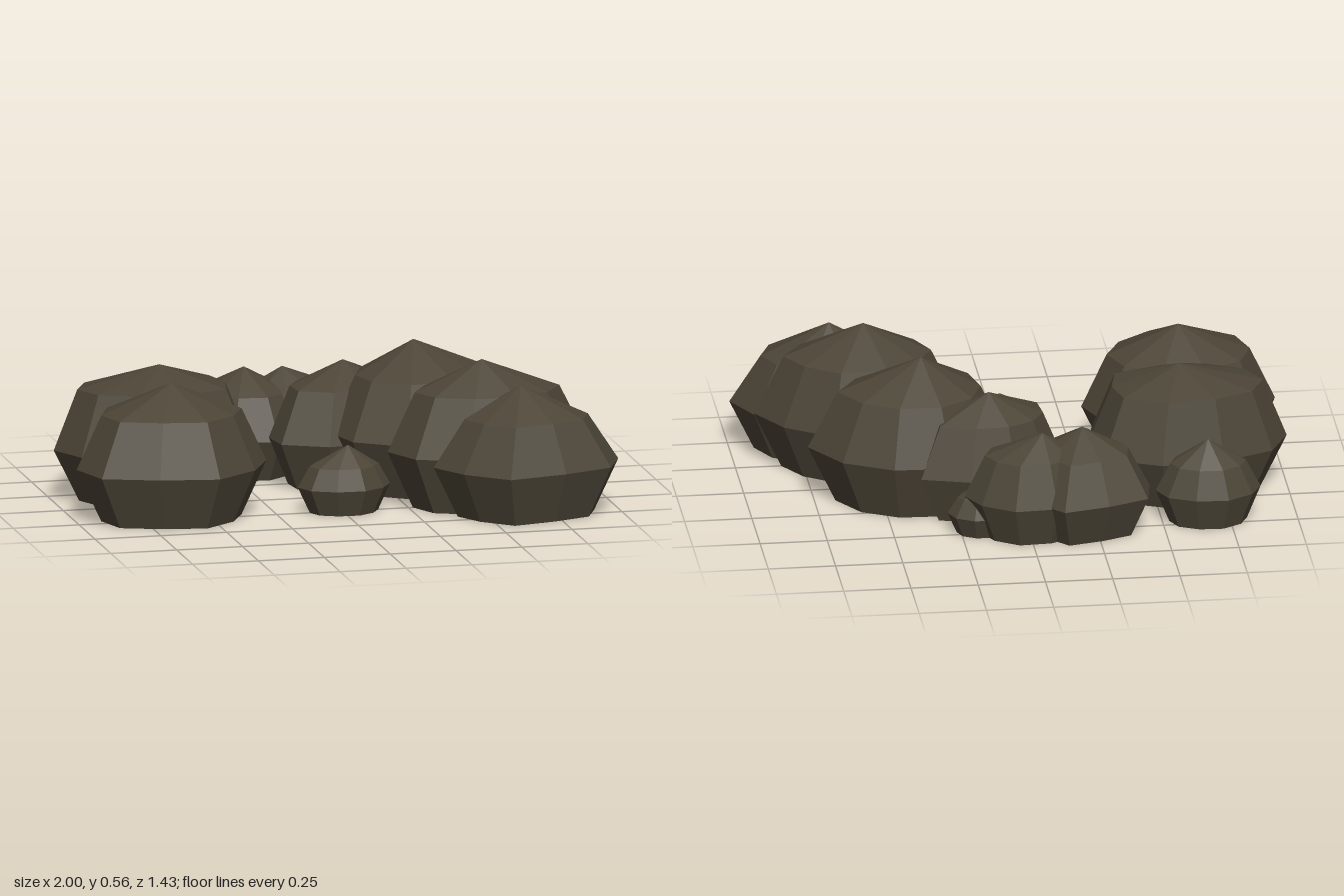
import * as THREE from 'three';

const SIDES = 10;

// One faceted boulder: base, waist and shoulder rings closed by a blunt peak.
// shoulder is [height, scale]; f holds the outline factor of each corner,
// running from +x towards +z.
function boulder(material, name, [x, z], [rx, rz], h, shoulder, f, apex = [x, z]) {
  const ring = (y, scale) => Array.from({ length: SIDES }, (_, i) => {
    const a = (i / SIDES) * Math.PI * 2;
    const s = scale * f[i];
    return [x + Math.cos(a) * rx * s, y, z + Math.sin(a) * rz * s];
  });
  const rings = [ring(0, 0.74), ring(h * 0.39, 1), ring(...shoulder)];
  const top = [apex[0], h, apex[1]];
  const bottom = [x, 0, z];
  const v = [];
  const tri = (a, b, c) => v.push(...a, ...b, ...c);
  for (let i = 0; i < SIDES; i++) {
    const j = (i + 1) % SIDES;
    for (let k = 0; k < 2; k++) {
      const lo = rings[k], up = rings[k + 1];
      tri(lo[i], up[i], lo[j]);
      tri(lo[j], up[i], up[j]);
    }
    tri(rings[2][i], top, rings[2][j]);
    tri(rings[0][i], rings[0][j], bottom);
  }
  // Unshared corners give flat facets
  const geometry = new THREE.BufferGeometry();
  geometry.setAttribute('position', new THREE.Float32BufferAttribute(v, 3));
  geometry.computeVertexNormals();
  const mesh = new THREE.Mesh(geometry, material);
  mesh.name = name;
  return mesh;
}

export function createModel() {
  const group = new THREE.Group();
  group.name = 'boulderCluster';
  const stone = new THREE.MeshStandardMaterial({ color: 0x4b4436 });
  stone.name = 'darkBrownStone';
  const add = (...args) => group.add(boulder(stone, ...args));

  // Pair of large boulders with a small one behind
  add('rightFrontBoulder', [-0.64, 0.21], [0.36, 0.285], 0.51, [0.4, 0.74],
    [1, 0.96, 1.05, 0.92, 1.05, 1, 1, 0.95, 0.95, 1]);
  add('rightMiddleBoulder', [-0.63, -0.15], [0.37, 0.25], 0.5, [0.42, 0.76],
    [1, 1.12, 1, 1, 1, 1, 1, 0.96, 1.06, 1.1], [-0.6, -0.15]);
  add('rightBackStone', [-0.67, -0.46], [0.195, 0.14], 0.32, [0.23, 0.72],
    [1, 1, 1, 1, 1, 1, 0.98, 1.02, 0.98, 1]);

  // Back row
  add('backBoulder', [-0.2, -0.48], [0.25, 0.21], 0.4, [0.31, 0.68],
    [1, 1, 1.08, 1, 0.92, 1, 1.13, 1, 1.2, 1]);
  add('backMiddleBoulder', [-0.01, -0.5], [0.25, 0.18], 0.39, [0.31, 0.7],
    [1, 1, 1, 1, 1, 1, 1, 1, 1.05, 0.98], [-0.05, -0.5]);
  add('backLeftStone', [0.17, -0.475], [0.13, 0.1], 0.2, [0.14, 0.7],
    [1, 1, 1, 1, 1, 1, 1, 1, 1, 1]);

  // Curving chain of large boulders down the left side
  add('innerBoulder', [0.12, -0.25], [0.28, 0.2], 0.46, [0.37, 0.72],
    [0.95, 1, 1, 1.15, 1.17, 1, 0.95, 0.95, 1, 1.18]);
  add('leftBackBoulder', [0.38, -0.11], [0.35, 0.29], 0.555, [0.43, 0.72],
    [1.13, 1, 1, 1.1, 1.05, 0.98, 0.98, 1, 0.97, 1.01], [0.355, -0.11]);
  add('leftMiddleBoulder', [0.54, 0.25], [0.37, 0.26], 0.55, [0.435, 0.72],
    [1.06, 0.98, 0.95, 0.95, 1, 1, 0.95, 1, 1.1, 1], [0.525, 0.26]);
  add('leftFrontBoulder', [0.65, 0.44], [0.35, 0.255], 0.485, [0.365, 0.67],
    [1, 1.01, 0.92, 1.13, 0.95, 1, 0.97, 0.97, 0.97, 0.97], [0.63, 0.44]);

  // Small stone in the middle
  add('centreStone', [0.005, 0.25], [0.175, 0.125], 0.25, [0.175, 0.75],
    [1, 0.95, 1, 0.97, 1, 1, 0.95, 1, 1.02, 1], [0.02, 0.25]);

  return group;
}
